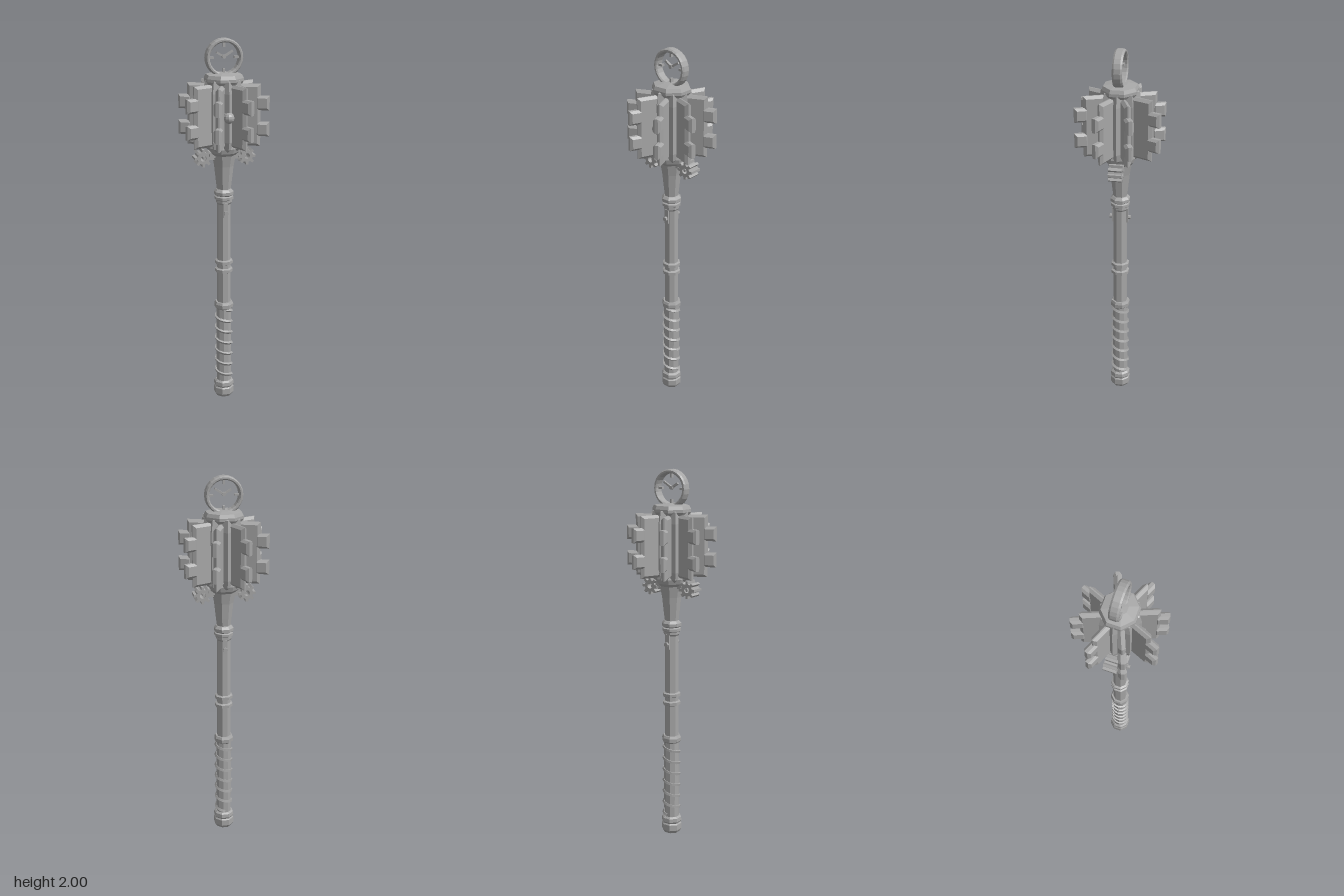
import * as THREE from 'three';

const metal = new THREE.MeshStandardMaterial({ color: 0xa6a6a6 });
metal.name = 'grey metal';
const FLAT = Math.PI / 8; // turns an octagon so that a flat faces the front

// Adds a faceted mesh to a parent
function add(parent, name, geo, x = 0, y = 0, z = 0) {
  const g = geo.index ? geo.toNonIndexed() : geo;
  g.computeVertexNormals();
  const m = new THREE.Mesh(g, metal);
  m.name = name;
  m.position.set(x, y, z);
  parent.add(m);
  return m;
}

// Turned part from [radius, height] pairs, listed from bottom to top
const turned = (pts, sides = 8, start = FLAT) =>
  new THREE.LatheGeometry(pts.map(p => new THREE.Vector2(...p)), sides, start);

// Bevelled plate in the xy plane, centred on z = 0
function plate(x0, x1, y0, y1, thick, bevel) {
  const s = new THREE.Shape([
    [x0 + bevel, y0 + bevel], [x1 - bevel, y0 + bevel],
    [x1 - bevel, y1 - bevel], [x0 + bevel, y1 - bevel],
  ].map(p => new THREE.Vector2(...p)));
  const depth = thick - 2 * bevel;
  const g = new THREE.ExtrudeGeometry(s, {
    depth, bevelEnabled: true, bevelSize: bevel, bevelThickness: bevel, bevelSegments: 1,
  });
  return g.translate(0, 0, -depth / 2);
}

function gear(teeth, inner, outer, hole, depth) {
  const pts = [];
  for (let i = 0; i < teeth; i++) {
    [[-0.3, inner], [-0.18, outer], [0.18, outer], [0.3, inner]].forEach(([o, r]) => {
      const a = (i + o) / teeth * Math.PI * 2;
      pts.push(new THREE.Vector2(Math.cos(a) * r, Math.sin(a) * r));
    });
  }
  const s = new THREE.Shape(pts);
  s.holes.push(new THREE.Path().absarc(0, 0, hole, 0, Math.PI * 2, true));
  return new THREE.ExtrudeGeometry(s, { depth, bevelEnabled: false, curveSegments: 8 })
    .translate(0, 0, -depth / 2);
}

function buildHandle(root) {
  const handle = new THREE.Group();
  handle.name = 'handle';
  root.add(handle);
  add(handle, 'pommel', turned([
    [0, 0], [0.045, 0.005], [0.056, 0.022], [0.056, 0.055], [0.05, 0.062],
    [0.056, 0.072], [0.054, 0.092], [0.044, 0.1], [0, 0.1],
  ]));
  add(handle, 'grip', turned([[0.041, 0.09], [0.043, 0.3], [0.041, 0.55]], 10));
  add(handle, 'gripCollar', turned([
    [0.04, 0.53], [0.052, 0.54], [0.053, 0.56], [0.047, 0.573], [0, 0.573],
  ]));
  add(handle, 'shaft', turned([[0.038, 0.55], [0.036, 1.22]]));
  [0.757, 0.804].forEach(y => add(handle, 'shaftRing', turned([
    [0.035, y - 0.014], [0.049, y - 0.008], [0.049, y + 0.008], [0.035, y + 0.014],
  ])));

  // Spiral leather wrap
  const turns = 6.5, pts = [];
  for (let i = 0; i <= turns * 10; i++) {
    const a = i / 10 * Math.PI * 2;
    pts.push(new THREE.Vector3(Math.sin(a) * 0.042, 0.53 - i / (turns * 10) * 0.42, Math.cos(a) * 0.042));
  }
  add(handle, 'gripWrap', new THREE.TubeGeometry(new THREE.CatmullRomCurve3(pts), 130, 0.009, 4));

  // Collars and flared neck
  add(handle, 'lowerCollar', turned([
    [0.036, 1.13], [0.043, 1.14], [0.043, 1.153], [0.051, 1.158], [0.051, 1.172], [0.04, 1.178],
  ]));
  add(handle, 'upperCollar', turned([
    [0.04, 1.175], [0.053, 1.184], [0.053, 1.2], [0.042, 1.212], [0.036, 1.215],
  ]));
  add(handle, 'neck', turned([
    [0.036, 1.2], [0.043, 1.26], [0.052, 1.34], [0.064, 1.4], [0.074, 1.42],
  ]));
  [1, -1].forEach(s => {
    add(handle, 'latch', new THREE.BoxGeometry(0.024, 0.08, 0.014), 0, 1.1, s * 0.036);
    add(handle, 'latchButton', new THREE.CylinderGeometry(0.012, 0.012, 0.018, 8).rotateX(Math.PI / 2),
      0, 1.088, s * 0.047);
  });
}

function buildHead(root) {
  const head = new THREE.Group();
  head.name = 'head';
  root.add(head);
  add(head, 'core', turned([
    [0, 1.4], [0.066, 1.4], [0.08, 1.415], [0.088, 1.44], [0.084, 1.46],
    [0.08, 1.5], [0.08, 1.74], [0.088, 1.775],
  ]));
  const cap = add(head, 'cap', turned([
    [0.086, 1.77], [0.096, 1.785], [0.096, 1.8], [0.088, 1.818], [0.04, 1.826], [0, 1.828],
  ]));
  cap.scale.x = 1.08;

  // Ridges between the blades
  for (let i = 0; i < 8; i++) {
    const a = i * Math.PI / 4;
    const ridge = add(head, 'ridge', turned([
      [0, 1.425], [0.018, 1.44], [0.03, 1.48], [0.03, 1.73], [0.02, 1.79], [0, 1.8],
    ], 4, 0), Math.sin(a) * 0.079, 0, Math.cos(a) * 0.079);
    ridge.rotation.y = a;
  }

  // Eight radial blades, each with two teeth
  for (let i = 0; i < 8; i++) {
    const blade = new THREE.Group();
    blade.name = 'blade';
    blade.rotation.y = FLAT + i * Math.PI / 4;
    head.add(blade);
    add(blade, 'bladePlate', plate(0.06, 0.19, 1.45, 1.772, 0.034, 0.014));
    [1.54, 1.675].forEach(y =>
      add(blade, 'bladeTooth', plate(0.165, 0.236, y - 0.037, y + 0.037, 0.041, 0.012)));
  }

  // Front stud
  add(head, 'stud', new THREE.SphereGeometry(0.028, 10, 8), 0, 1.61, 0.106);
  add(head, 'studCollar', new THREE.CylinderGeometry(0.028, 0.032, 0.03, 8).rotateX(Math.PI / 2), 0, 1.61, 0.09);
}

function buildGears(root) {
  const gears = new THREE.Group();
  gears.name = 'gears';
  root.add(gears);
  add(gears, 'axleBar', new THREE.BoxGeometry(0.21, 0.018, 0.036), 0, 1.385, 0);
  [1, -1].forEach(s => {
    add(gears, 'gear', gear(8, 0.032, 0.046, 0.015, 0.07), s * 0.117, 1.39, 0);
    add(gears, 'gearBracket', new THREE.BoxGeometry(0.03, 0.03, 0.06), s * 0.068, 1.405, 0);
    add(gears, 'gearPin', new THREE.CylinderGeometry(0.009, 0.009, 0.05, 6).rotateX(Math.PI / 2), s * 0.108, 1.388, 0);
  });
}

function buildDial(root) {
  const dial = new THREE.Group();
  dial.name = 'dial';
  dial.position.y = 1.902;
  root.add(dial);
  add(dial, 'dialRing', turned([
    [0.078, -0.019], [0.084, -0.025], [0.092, -0.025], [0.098, -0.016], [0.098, 0.016],
    [0.092, 0.025], [0.084, 0.025], [0.078, 0.019], [0.078, -0.019],
  ], 24, 0).rotateX(Math.PI / 2));
  for (let i = 0; i < 4; i++) {
    const a = i * Math.PI / 2;
    const mark = add(dial, 'hourMark', new THREE.BoxGeometry(0.026, 0.011, 0.016),
      Math.cos(a) * 0.067, Math.sin(a) * 0.067, 0);
    mark.rotation.z = a;
  }
  // Hands, each turned about the hub
  [[0.55, 0.055], [2.6, 0.045]].forEach(([a, len]) => {
    const hand = add(dial, 'dialHand',
      new THREE.BoxGeometry(len, 0.01, 0.012).translate(len / 2, 0, 0), 0, 0.004, 0);
    hand.rotation.z = a;
  });
  add(dial, 'dialHub', new THREE.CylinderGeometry(0.01, 0.01, 0.02, 8).rotateX(Math.PI / 2), 0, 0.004, 0);
}

export function createModel() {
  const root = new THREE.Group();
  root.name = 'mace';
  buildHandle(root);
  buildHead(root);
  buildGears(root);
  buildDial(root);
  return root;
}
